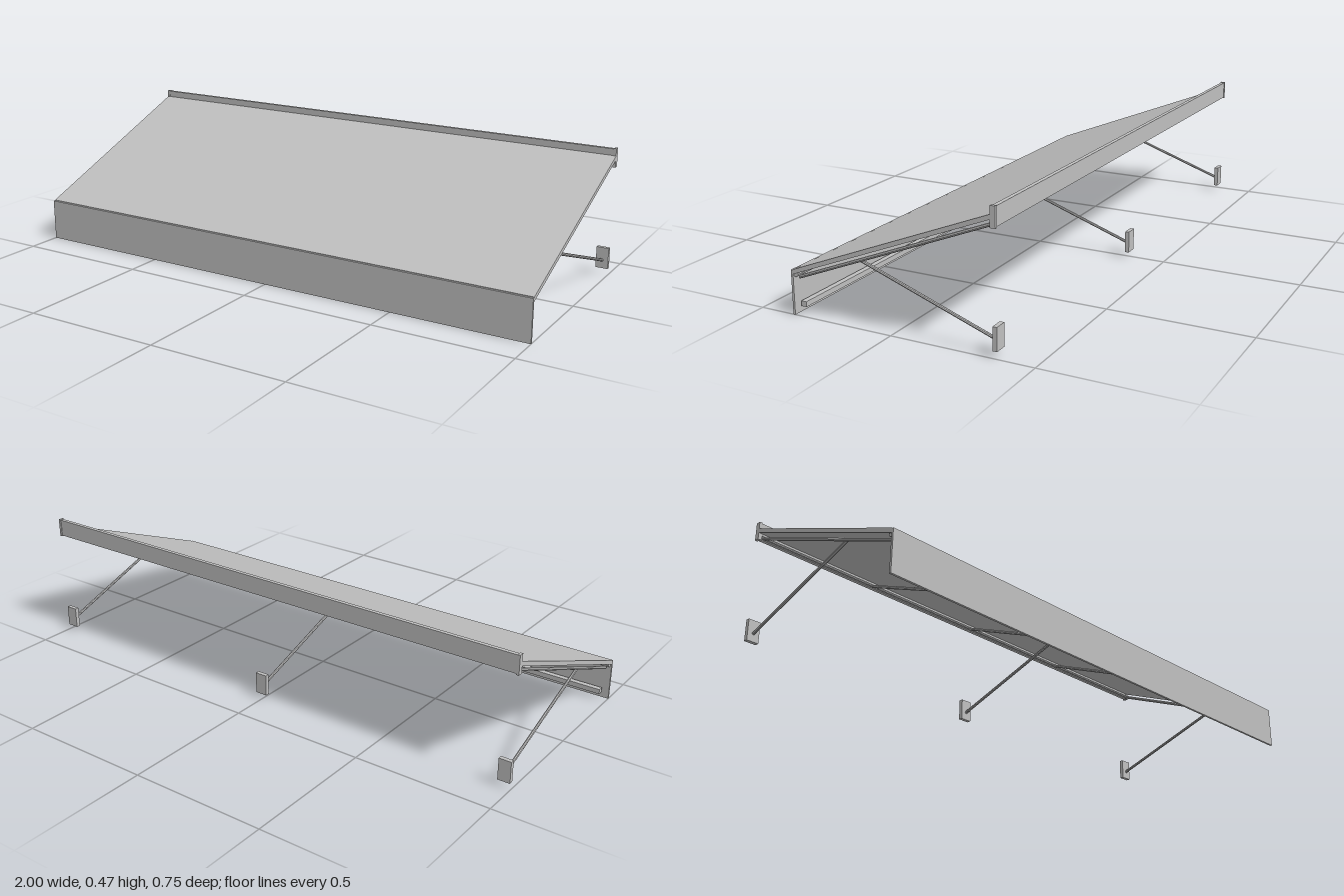
import * as THREE from 'three';

export function createModel() {
  const group = new THREE.Group();
  group.name = 'awning';
  const metal = new THREE.MeshStandardMaterial({ color: 0xc0c0c0 });
  metal.name = 'light grey';
  metal.flatShading = true;

  const add = (name, geometry, x = 0, y = 0, z = 0) => {
    const mesh = new THREE.Mesh(geometry, metal);
    mesh.name = name;
    mesh.position.set(x, y, z);
    group.add(mesh);
    return mesh;
  };
  // Box given by its extents in y and z, centred at x
  const bar = (name, width, y0, y1, z0, z1, x = 0) =>
    add(name, new THREE.BoxGeometry(width, y1 - y0, z1 - z0), x, (y0 + y1) / 2, (z0 + z1) / 2);
  // Slender faceted tube between two points
  const tube = (name, a, b, radius) => {
    const from = new THREE.Vector3(...a), to = new THREE.Vector3(...b);
    const dir = to.clone().sub(from);
    const mesh = add(name, new THREE.CylinderGeometry(radius, radius, dir.length(), 8));
    mesh.position.copy(from).add(to).multiplyScalar(0.5);
    mesh.quaternion.setFromUnitVectors(new THREE.Vector3(0, 1, 0), dir.normalize());
  };

  // Sloping roof sheet, extruded across the width
  const profile = new THREE.Shape();
  [[-0.366, 0.154], [0.362, 0.446], [0.362, 0.430], [-0.366, 0.138]].forEach(([u, v], i) =>
    i ? profile.lineTo(u, v) : profile.moveTo(u, v));
  const sheet = new THREE.ExtrudeGeometry(profile, { depth: 2, bevelEnabled: false });
  sheet.translate(0, 0, -1).rotateY(Math.PI / 2);
  add('roofSheet', sheet);

  // Front valance with its stiffening bar
  bar('valance', 2, 0, 0.152, 0.366, 0.374);
  bar('valanceBar', 1.95, 0.022, 0.04, 0.34, 0.36);

  // Front and rear cross rails
  tube('frontRail', [-0.995, 0.139, 0.36], [0.995, 0.139, 0.36], 0.011);
  tube('rearRail', [-0.985, 0.413, -0.355], [0.985, 0.413, -0.355], 0.006);

  // Wall rail with end caps
  bar('wallRail', 1.98, 0.405, 0.468, -0.371, -0.357);
  for (const side of [-1, 1]) bar('wallRailCap', 0.01, 0.402, 0.47, -0.373, -0.355, side * 0.995);

  // Rafters beneath the sheet
  for (const x of [-0.98, -0.5, 0, 0.5, 0.98])
    tube('rafter', [x, 0.125, 0.355], [x, 0.411, -0.358], 0.006);

  // Braces running down to wall plates
  for (const x of [-0.975, 0, 0.975]) {
    tube('brace', [x, 0.219, 0.12], [x, 0.052, -0.36], 0.0055);
    bar('wallPlate', 0.045, 0.022, 0.1, -0.373, -0.358, x);
  }
  return group;
}
